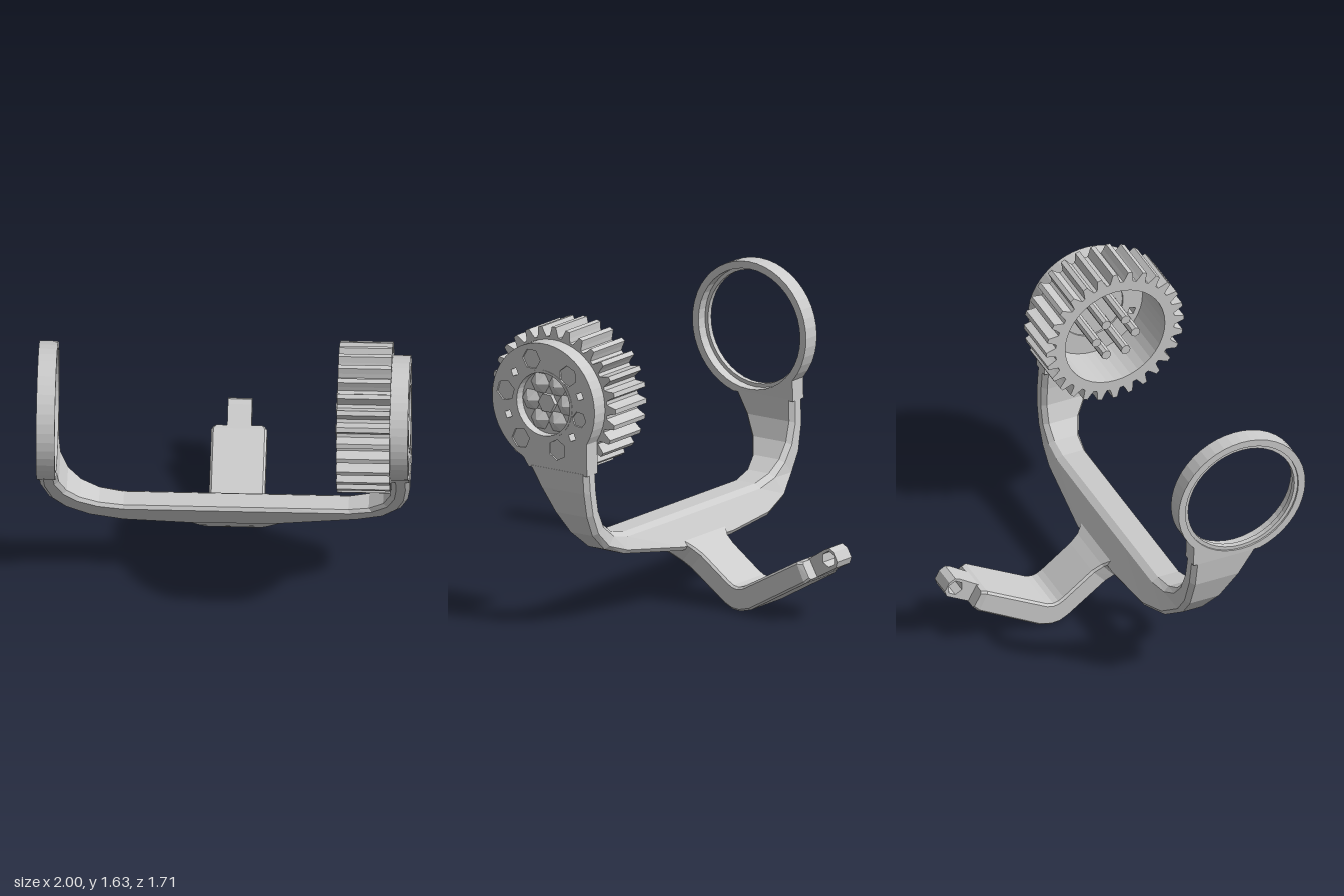
import * as THREE from 'three';

const mat = new THREE.MeshStandardMaterial({ color: 0xcccccc, flatShading: true });
const CZ = 0.45, CY = 1.22; // shared axis of ring, gear and hub

function add(parent, name, geo) {
  const mesh = new THREE.Mesh(geo, mat);
  mesh.name = name;
  parent.add(mesh);
  return mesh;
}

// Side-profile points are [z, y]; the shape's own x runs along -z,
// so the order is reversed to keep outlines counter-clockwise
const toShape = (pts) => pts.map(([z, y]) => new THREE.Vector2(-z, y)).reverse();

function circle(z, y, r, n, turn = 0) {
  const pts = [];
  for (let i = 0; i < n; i++) {
    const a = turn + (i / n) * Math.PI * 2;
    pts.push([z + r * Math.cos(a), y + r * Math.sin(a)]);
  }
  return pts;
}

// Extrude a side profile from x0 to x1
function extrudeX(pts, holes, x0, x1) {
  const shape = new THREE.Shape(toShape(pts));
  shape.holes = holes.map((h) => new THREE.Path(toShape(h)));
  const geo = new THREE.ExtrudeGeometry(shape, { depth: x1 - x0, bevelEnabled: false });
  return geo.rotateY(Math.PI / 2).translate(x0, 0, 0);
}

// Cut each corner of a four-sided section
function chamfer(corners, c) {
  return corners.flatMap((p, i) => {
    const prev = corners[(i + 3) % 4], next = corners[(i + 1) % 4];
    const toward = (q) => p.clone().lerp(q, Math.min(0.3, c / p.distanceTo(q)));
    return [toward(prev), toward(next)];
  });
}

// Skin a list of equal-sized loops and cap both ends
function loft(loops) {
  const n = loops[0].length, tris = [];
  for (let s = 0; s < loops.length - 1; s++) {
    for (let i = 0; i < n; i++) {
      const j = (i + 1) % n, A = loops[s], B = loops[s + 1];
      tris.push([A[i], A[j], B[j]], [A[i], B[j], B[i]]);
    }
  }
  const end = loops[loops.length - 1];
  for (let i = 1; i < n - 1; i++) {
    tris.push([loops[0][0], loops[0][i + 1], loops[0][i]], [end[0], end[i], end[i + 1]]);
  }
  // keep faces pointing outwards
  const volume = tris.reduce((v, [a, b, c]) => v + a.dot(b.clone().cross(c)), 0);
  if (volume < 0) tris.forEach((t) => t.reverse());
  const geo = new THREE.BufferGeometry().setFromPoints(tris.flat());
  geo.computeVertexNormals();
  return geo;
}

// Front and back edges of the yoke at a given height
const frontZ = (y) => 0.2 + (y - 0.31) * 0.633;
const backZ = (y) => (y < 0.45 ? 0.05 + (y - 0.31) * 0.6 : Math.min(0.165, 0.134 + (y - 0.45) * 0.07));

// Round head of an arm, running down into the arm edges
function headOutline(r) {
  const base = 0.86, pts = [[backZ(base), base], [frontZ(base), base]];
  const a0 = r > 0.36 ? -1.29 : -1.17;
  const a1 = Math.PI + Math.asin(Math.sqrt(r * r - 0.285 * 0.285) / r);
  for (let i = 0; i <= 36; i++) {
    const a = a0 + ((a1 - a0) * i) / 36;
    pts.push([CZ + r * Math.cos(a), CY + r * Math.sin(a)]);
  }
  return pts;
}

function buildYoke(group) {
  // inner x, inner y, outer x, outer y
  const stations = [
    [-0.90, 0.87, -1.0, 0.87], [-0.89, 0.75, -0.99, 0.72], [-0.85, 0.645, -0.945, 0.57],
    [-0.78, 0.565, -0.87, 0.465], [-0.68, 0.51, -0.74, 0.375], [-0.55, 0.483, -0.55, 0.32],
    [-0.2, 0.483, -0.2, 0.295], [0.25, 0.483, 0.25, 0.3], [0.66, 0.483, 0.72, 0.38],
    [0.77, 0.505, 0.86, 0.43], [0.85, 0.565, 0.945, 0.52], [0.89, 0.66, 0.985, 0.63],
    [0.90, 0.76, 1.0, 0.76], [0.90, 0.87, 1.0, 0.87],
  ];
  const loops = stations.map(([xi, yi, xo, yo]) => chamfer([
    new THREE.Vector3(xi, yi, frontZ(yi)), new THREE.Vector3(xo, yo, frontZ(yo)),
    new THREE.Vector3(xo, yo, backZ(yo)), new THREE.Vector3(xi, yi, backZ(yi)),
  ], 0.025));
  add(group, 'yoke', loft(loops));
}

function buildStem(group) {
  // top z, top y, bottom z, bottom y, half width
  const stations = [
    [0.13, 0.42, 0.19, 0.315, 0.27], [0.07, 0.35, 0.145, 0.26, 0.2], [0.03, 0.315, 0.105, 0.222, 0.165],
    [-0.02, 0.28, 0.06, 0.188, 0.15], [-0.19, 0.155, -0.165, 0.028, 0.15], [-0.22, 0.138, -0.215, 0.004, 0.15],
    [-0.25, 0.132, -0.265, 0.0, 0.15], [-0.285, 0.14, -0.335, 0.018, 0.15], [-0.64, 0.335, -0.695, 0.222, 0.15],
    [-0.67, 0.335, -0.72, 0.245, 0.135],
  ];
  const loops = stations.map(([tz, ty, bz, by, w]) => chamfer([
    new THREE.Vector3(0.04 - w, ty, tz), new THREE.Vector3(0.04 + w, ty, tz),
    new THREE.Vector3(0.04 + w, by, bz), new THREE.Vector3(0.04 - w, by, bz),
  ], 0.012));
  add(group, 'stem', loft(loops));
  // narrow end lug with a hexagonal eye
  const lug = [[-0.62, 0.31], [-0.765, 0.405], [-0.795, 0.418], [-0.83, 0.4], [-0.857, 0.35], [-0.845, 0.315], [-0.70, 0.235]];
  add(group, 'stemLug', extrudeX(lug, [circle(-0.795, 0.357, 0.045, 6, 0.5)], -0.025, 0.105));
}

function buildRing(group) {
  add(group, 'ring', extrudeX(headOutline(0.375), [circle(CZ, CY, 0.335, 40)], -1, -0.9));
  add(group, 'ringLip', extrudeX(circle(CZ, CY, 0.34, 40), [circle(CZ, CY, 0.315, 40)], -0.99, -0.96));
}

function buildHub(group) {
  // side plate with small through holes and shallow hexagonal pockets
  const bore = circle(CZ, CY, 0.18, 36);
  const holes = [[0.64, 1.37], [0.21, 1.3], [0.26, 1.065], [0.68, 1.13]].map(([z, y]) => circle(z, y, 0.026, 4, 0.4));
  const pockets = [[0.53, 1.46], [0.29, 1.4], [0.7, 1.26], [0.215, 1.17], [0.36, 0.98], [0.6, 1.01]]
    .map(([z, y], i) => circle(z, y, i === 3 ? 0.045 : 0.058, 6, i * 0.4));
  const outline = headOutline(0.338);
  add(group, 'sidePlate', extrudeX(outline, [bore, ...holes], 0.9, 0.988));
  add(group, 'sidePlateFace', extrudeX(outline, [bore, ...holes, ...pockets], 0.988, 0.998));
  add(group, 'hubRim', extrudeX(circle(CZ, CY, 0.19, 36), [circle(CZ, CY, 0.175, 36)], 0.93, 1));
  add(group, 'hubFloor', extrudeX(circle(CZ, CY, 0.182, 36), [], 0.91, 0.945));

  // six faceted points outside, six pins inside the gear
  circle(CZ, CY, 0.115, 6).forEach(([z, y]) => {
    const point = add(group, 'hubPoint', new THREE.ConeGeometry(0.062, 0.04, 6));
    point.rotation.z = -Math.PI / 2;
    point.position.set(0.965, y, z);
    const pin = add(group, 'hubPin', new THREE.CylinderGeometry(0.028, 0.028, 0.32, 8));
    pin.rotation.z = Math.PI / 2;
    pin.position.set(0.763, y, z);
  });
  const boss = add(group, 'hubBoss', new THREE.CylinderGeometry(0.055, 0.055, 0.03, 6));
  boss.rotation.z = Math.PI / 2;
  boss.position.set(0.955, CY, CZ);
}

function buildGear(group) {
  const teeth = 28, pts = [];
  for (let i = 0; i < teeth; i++) {
    const mid = Math.PI / 2 + (i / teeth) * Math.PI * 2;
    for (const [da, r] of [[-0.085, 0.352], [-0.058, 0.375], [-0.032, 0.408], [0.032, 0.408], [0.058, 0.375], [0.085, 0.352]]) {
      pts.push([CZ + r * Math.cos(mid + da), CY + r * Math.sin(mid + da)]);
    }
  }
  add(group, 'gear', extrudeX(pts, [circle(CZ, CY, 0.295, 40)], 0.615, 0.902));
}

export function createModel() {
  const group = new THREE.Group();
  group.name = 'gearYoke';
  buildYoke(group);
  buildStem(group);
  buildRing(group);
  buildHub(group);
  buildGear(group);
  return group;
}
